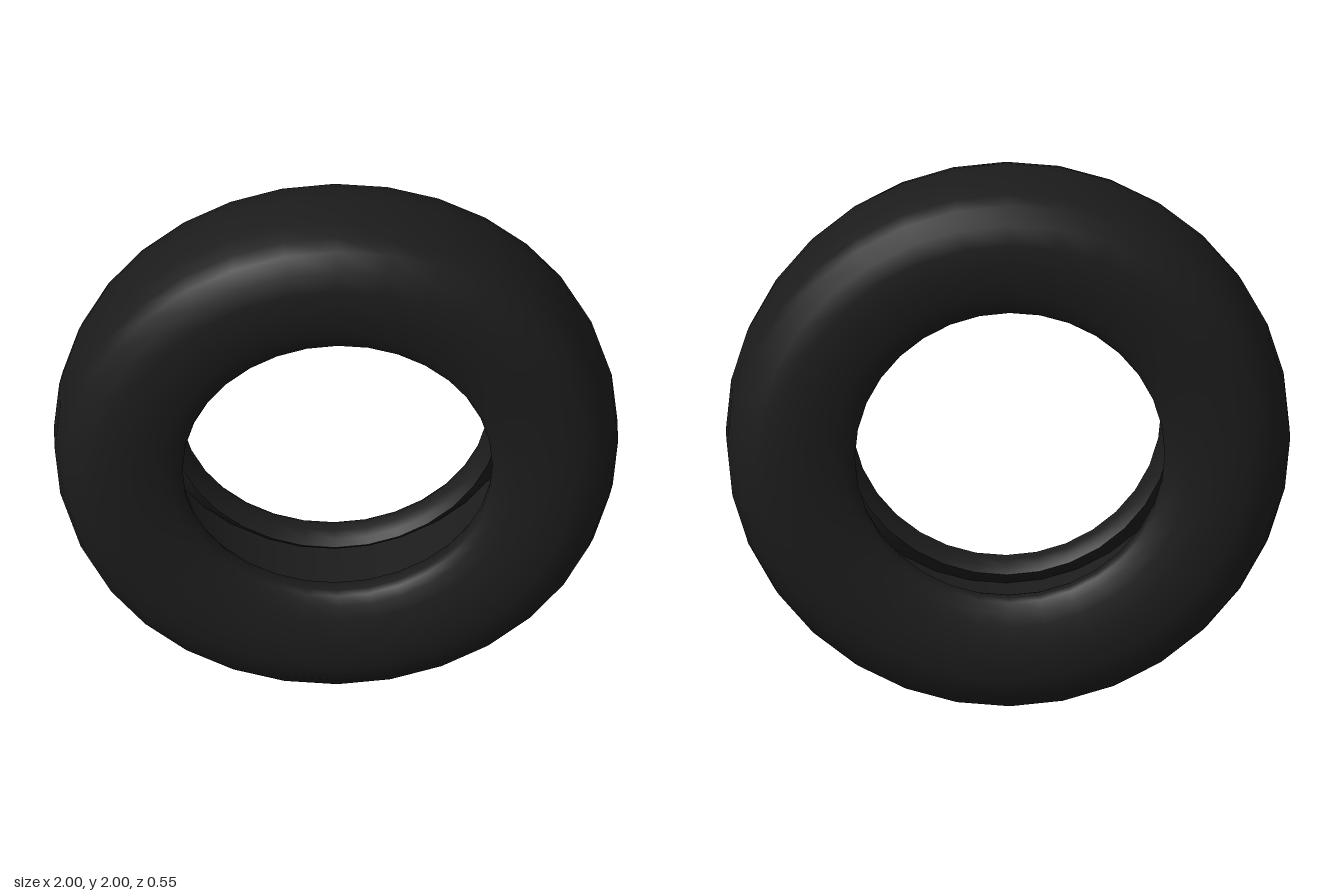
import * as THREE from 'three';

const SEGMENTS = 32;

// Revolve a [radius, z] profile about the wheel's z axis
function ring(name, profile, material) {
  const points = profile.map(([r, z]) => new THREE.Vector2(r, z));
  const geometry = new THREE.LatheGeometry(points, SEGMENTS);
  geometry.rotateX(Math.PI / 2);
  const mesh = new THREE.Mesh(geometry, material);
  mesh.name = name;
  return mesh;
}

// Complete a half profile with its mirror image across z = 0
function mirrored(half) {
  return [...half, ...half.map(([r, z]) => [r, -z]).reverse()];
}

export function createModel() {
  const tire = new THREE.Group();
  tire.name = 'tire';
  tire.position.y = 1;
  const rubber = new THREE.MeshStandardMaterial({ color: 0x1c1c1c });
  rubber.name = 'black rubber';

  // Outer skin: back bead, sidewall, shoulder, tread, then mirrored to the front
  const skin = mirrored([
    [0.588, -0.105], [0.567, -0.125], [0.553, -0.16], [0.55, -0.195], [0.56, -0.217],
    [0.59, -0.238], [0.64, -0.257], [0.71, -0.271], [0.77, -0.275], [0.84, -0.27],
    [0.91, -0.25], [0.965, -0.2], [0.985, -0.14], [1, -0.065],
  ]);
  tire.add(ring('treadAndSidewalls', skin, rubber));

  // Hollow between the beads: undercut bead backs and a floor facing the axle
  tire.add(ring('frontBeadBack', [[0.588, 0.105], [0.62, 0.14], [0.66, 0.2]], rubber));
  tire.add(ring('channelFloor', [[0.66, 0.2], [0.66, -0.2]], rubber));
  tire.add(ring('backBeadBack', [[0.66, -0.2], [0.62, -0.14], [0.588, -0.105]], rubber));

  const model = new THREE.Group();
  model.name = 'model';
  model.add(tire);
  return model;
}
